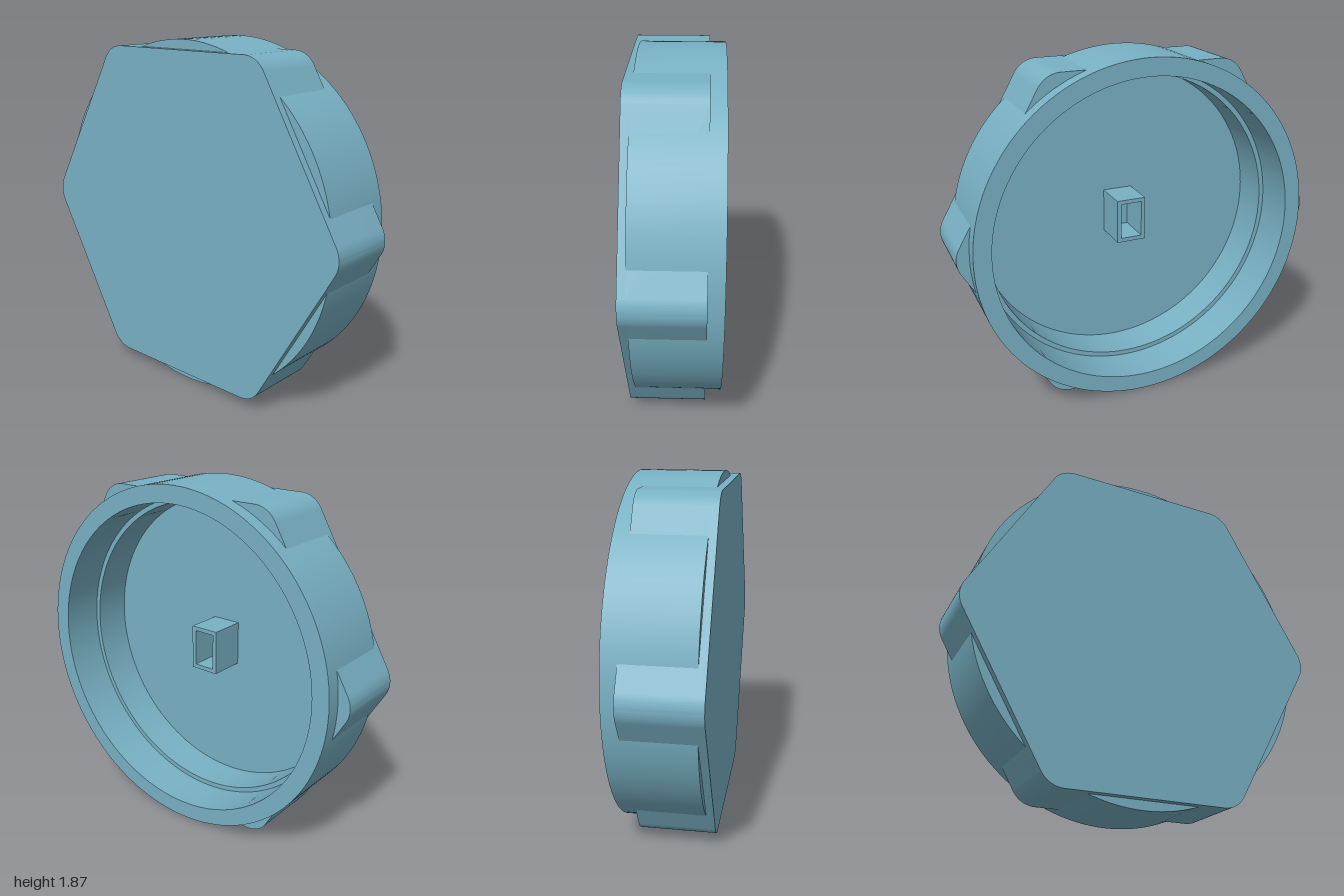
import * as THREE from 'three';
import { toCreasedNormals } from 'three/addons/utils/BufferGeometryUtils.js';

const CENTER_Y = 0.935;

// Hexagon with rounded corners, one corner on +x
function hexShape(apothem, radius) {
  const shape = new THREE.Shape();
  const cornerDist = (apothem - radius) / Math.cos(Math.PI / 6);
  for (let i = 0; i < 6; i++) {
    const a = (i * Math.PI) / 3;
    shape.absarc(cornerDist * Math.cos(a), cornerDist * Math.sin(a), radius, a - Math.PI / 6, a + Math.PI / 6, false);
  }
  shape.closePath();
  return shape;
}

function rectPoints(w, h) {
  return [[-w, -h], [w, -h], [w, h], [-w, h]].map(([x, y]) => new THREE.Vector2(x / 2, y / 2));
}

// Extrude along z between two depths
function slab(shape, z0, z1) {
  const geo = new THREE.ExtrudeGeometry(shape, { depth: z1 - z0, bevelEnabled: false, curveSegments: 24 });
  geo.translate(0, 0, z0);
  return toCreasedNormals(geo, 0.5);
}

export function createModel() {
  const group = new THREE.Group();
  const blue = new THREE.MeshStandardMaterial({ color: 0x78b1c4 });
  blue.name = 'dusty blue';

  const add = (name, geo) => {
    const mesh = new THREE.Mesh(geo, blue);
    mesh.name = name;
    mesh.position.y = CENTER_Y;
    group.add(mesh);
  };

  // Hexagonal front plate, its back is the floor of the cavity
  add('hexFrontPlate', slab(hexShape(0.885, 0.14), 0.2, 0.24));

  // Hexagonal grip around the round wall
  const grip = hexShape(0.885, 0.14);
  grip.holes.push(new THREE.Path().absarc(0, 0, 0.86, 0, Math.PI * 2, true));
  add('hexGrip', slab(grip, -0.16, 0.2));

  // Round wall with a stepped inside
  const profile = [
    [0.935, -0.24], [0.935, 0.2], [0.815, 0.2], [0.815, -0.01],
    [0.842, -0.01], [0.842, -0.24], [0.935, -0.24],
  ].map(([r, z]) => new THREE.Vector2(r, z));
  const wall = new THREE.LatheGeometry(profile, 128);
  wall.rotateX(Math.PI / 2);
  add('roundWall', toCreasedNormals(wall, 0.5));

  // Hollow rectangular socket standing on the floor
  const socket = new THREE.Shape(rectPoints(0.165, 0.245));
  socket.holes.push(new THREE.Path(rectPoints(0.12, 0.2).reverse()));
  add('socket', slab(socket, 0, 0.2));

  return group;
}
